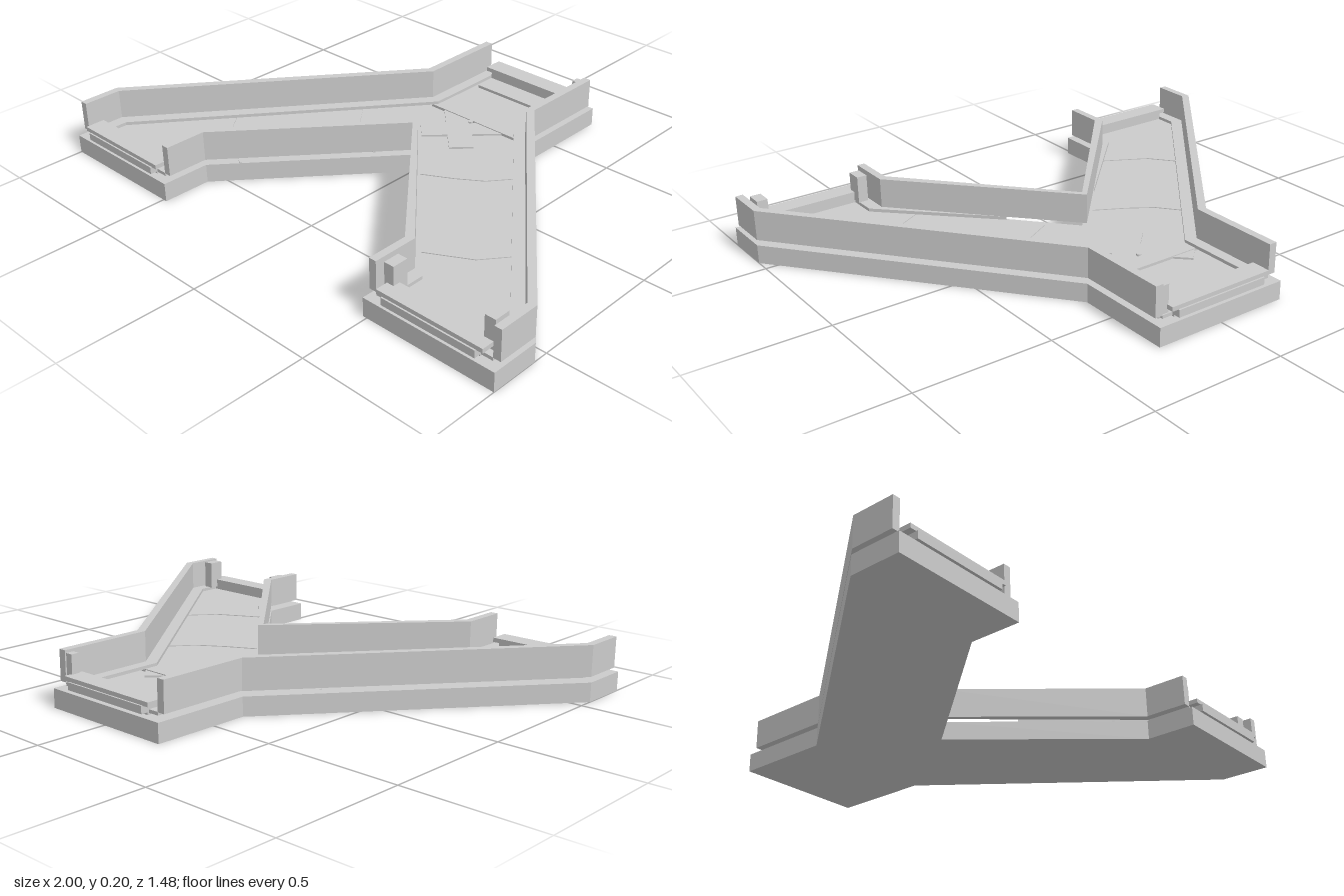
import * as THREE from 'three';

const mat = new THREE.MeshStandardMaterial({ color: 0xcccccc, flatShading: true });

export function createModel() {
  const model = new THREE.Group();

  const add = (name, geo) => {
    const mesh = new THREE.Mesh(geo, mat);
    mesh.name = name;
    model.add(mesh);
    return mesh;
  };
  // Horizontal slab from plan points [x, z] between two heights
  const slab = (name, pts, y0, y1) => {
    const shape = new THREE.Shape(pts.map(([x, z]) => new THREE.Vector2(x, -z)));
    const geo = new THREE.ExtrudeGeometry(shape, { depth: y1 - y0, bevelEnabled: false });
    geo.rotateX(-Math.PI / 2).translate(0, y0, 0);
    return add(name, geo);
  };
  // Box given by its limits on each axis
  const block = (name, x0, x1, y0, y1, z0, z1) => {
    const geo = new THREE.BoxGeometry(x1 - x0, y1 - y0, z1 - z0);
    geo.translate((x0 + x1) / 2, (y0 + y1) / 2, (z0 + z1) / 2);
    return add(name, geo);
  };
  const flip = (pts, s) => pts.map(([x, z]) => [x * s, z]);

  // Forked base
  const half = [[0.26, -0.738], [0.26, -0.37], [1, 0.555], [1, 0.738], [0.485, 0.738], [0.485, 0.555]];
  slab('base', [...half, [0, 0], ...flip(half, -1).reverse()], 0, 0.069);

  // Side walls, the low kerbs along them and the bent seams across the floor
  const outerWall = [[0.257, -0.71], [0.257, -0.37], [0.998, 0.555], [0.998, 0.71],
    [0.97, 0.71], [0.97, 0.565], [0.228, -0.36], [0.228, -0.71]];
  const outerKerb = [[0.228, -0.71], [0.228, -0.36], [0.97, 0.565], [0.97, 0.71],
    [0.925, 0.71], [0.925, 0.58], [0.187, -0.345], [0.187, -0.71]];
  const innerKerb = [[0.515, 0.71], [0.515, 0.54], [0.2, 0.19], [0.56, 0.555], [0.56, 0.71]];
  const seams = [
    [[0.39, -0.14], [0.31, -0.04], [0.22, 0.02], [0.11, 0.08]],
    [[0.68, 0.25], [0.6, 0.35], [0.51, 0.4], [0.4, 0.46]],
  ];
  for (const s of [1, -1]) {
    slab('outerWall', flip(outerWall, s), 0.089, 0.2);
    slab('outerKerb', flip(outerKerb, s), 0.078, 0.09);
    slab('innerKerb', flip(innerKerb, s), 0.078, 0.09);
    for (const line of seams) {
      const back = line.map(([x, z]) => [x + 0.005, z + 0.006]).reverse();
      slab('floorSeam', flip([...line, ...back], s), 0.066, 0.072);
    }
  }

  // Wall around the inside of the fork
  slab('forkWall', [[-0.487, 0.71], [-0.487, 0.555], [0, 0], [0.487, 0.555], [0.487, 0.71],
    [0.515, 0.71], [0.515, 0.54], [0, -0.028], [-0.515, 0.54], [-0.515, 0.71]], 0.089, 0.2);

  // Sill across each open end: a wide top over a narrower step and foot
  for (const [x, s, footEnd] of [[0, -1, 0.575], [0.743, 1, 0.69], [-0.743, 1, 0.69]]) {
    const bar = (name, w, y0, y1, za, zb) =>
      block(name, x - w, x + w, y0, y1, Math.min(za * s, zb * s), Math.max(za * s, zb * s));
    bar('sillFoot', 0.18, 0.066, 0.08, footEnd, 0.71);
    bar('sillStep', 0.183, 0.079, 0.106, 0.66, 0.738);
    bar('sillTop', 0.207, 0.105, 0.121, 0.658, 0.732);
  }

  // Posts at the ends of the left leg and beside the back opening
  block('post', 0.525, 0.563, 0.089, 0.19, 0.625, 0.685);
  block('post', 0.915, 0.955, 0.089, 0.198, 0.625, 0.685);
  block('post', 0.2, 0.23, 0.089, 0.19, -0.705, -0.675);
  block('sideBlock', 0.187, 0.227, 0.066, 0.09, -0.69, -0.575);

  // Crossed planks and a bar lying on the floor at the junction
  for (const s of [1, -1]) {
    const plank = add('crossPlank', new THREE.BoxGeometry(0.375, 0.012, 0.09));
    plank.position.set(0.033 * s, 0.07, -0.285);
    plank.rotation.y = s * Math.PI / 4;
  }
  block('crossBar', -0.205, 0.205, 0.066, 0.079, -0.4, -0.33);
  const pin = add('crossPin', new THREE.CylinderGeometry(0.009, 0.009, 0.014, 8));
  pin.position.set(0, 0.075, -0.32);

  return model;
}
